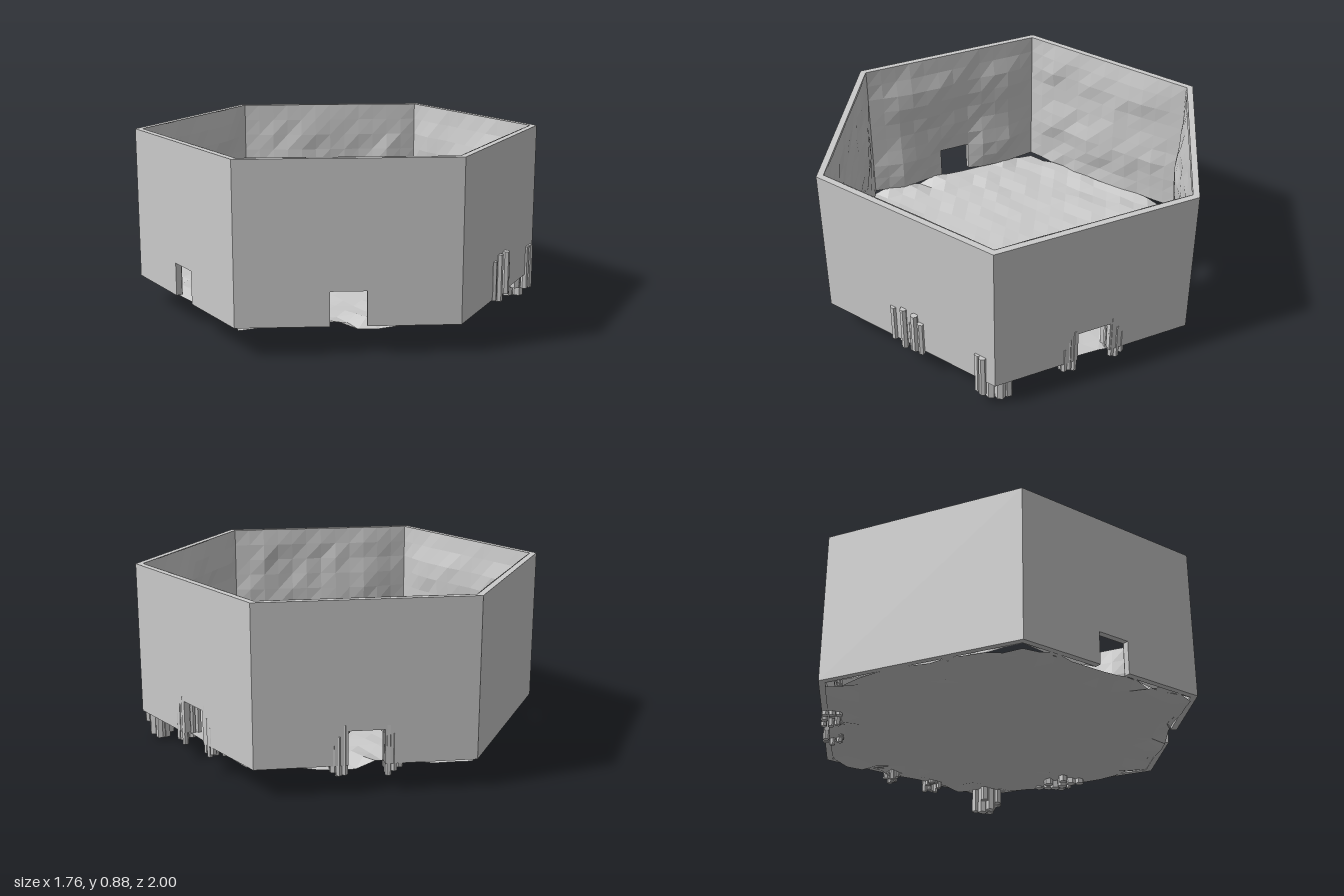
import * as THREE from 'three';
import { mergeGeometries } from 'three/addons/utils/BufferGeometryUtils.js';

const BASE = 0.135, TOP = 0.885, THICK = 0.03;
const APOTHEM = Math.sqrt(3) / 2;
const DOOR_HALF = 0.0825, DOOR_TOP = 0.295;
const INNER_HALF = 0.5 - THICK * Math.tan(Math.PI / 6);

const solid = new THREE.MeshStandardMaterial({ color: 0xcccccc, flatShading: true });
const sheet = new THREE.MeshStandardMaterial({ color: 0xcccccc, flatShading: true, side: THREE.DoubleSide });

// repeatable value in 0..1 from two numbers
function hash(a, b) {
  const s = Math.sin(a * 127.1 + b * 311.7) * 43758.5453;
  return s - Math.floor(s);
}

function named(geometry, material, name) {
  const mesh = new THREE.Mesh(geometry, material);
  mesh.name = name;
  return mesh;
}

function facetted(points, index) {
  const g = new THREE.BufferGeometry();
  g.setAttribute('position', new THREE.Float32BufferAttribute(points, 3));
  g.setIndex(index);
  const flat = g.toNonIndexed();
  flat.computeVertexNormals();
  return flat;
}

// outer panel with an optional doorway, mitred to meet its neighbours
function panelGeometry(hasDoor) {
  const s = new THREE.Shape();
  s.moveTo(-0.5, BASE);
  if (hasDoor) {
    s.lineTo(-DOOR_HALF, BASE);
    s.lineTo(-DOOR_HALF, DOOR_TOP);
    s.lineTo(DOOR_HALF, DOOR_TOP);
    s.lineTo(DOOR_HALF, BASE);
  }
  s.lineTo(0.5, BASE);
  s.lineTo(0.5, TOP);
  s.lineTo(-0.5, TOP);
  const g = new THREE.ExtrudeGeometry(s, { depth: THICK, bevelEnabled: false });
  g.translate(0, 0, APOTHEM - THICK);
  const p = g.attributes.position;
  for (let i = 0; i < p.count; i++) {
    if (p.getZ(i) < APOTHEM - THICK / 2 && Math.abs(p.getX(i)) > 0.4) {
      p.setX(i, Math.sign(p.getX(i)) * INNER_HALF);
    }
  }
  g.computeVertexNormals();
  return g;
}

// rough rock sheet lining the inside of a panel
function liningGeometry(hasDoor, seed) {
  const cols = 12, rows = 9, points = [], index = [];
  for (let r = 0; r <= rows; r++) {
    const y = r <= 2 ? BASE + r * 0.08 : DOOR_TOP + (r - 2) * (TOP - DOOR_TOP) / 7;
    for (let c = 0; c <= cols; c++) {
      const k = c - 6;
      const x = Math.abs(k) <= 1 ? k * DOOR_HALF
        : Math.sign(k) * (DOOR_HALF + (Math.abs(k) - 1) * (INNER_HALF - DOOR_HALF) / 5);
      const wave = 0.5 + 0.3 * Math.sin(r * 1.3 + seed * 2) + 0.3 * Math.sin(c * 0.8 + seed * 3 + r * 0.3);
      let bulge = 0.003 + 0.026 * Math.max(0, wave) + 0.014 * hash(r + seed * 17, c);
      bulge *= Math.min(1, (6 - Math.abs(k)) / 2) * Math.min(1, 0.1 + (rows - r) * 0.4);
      if (hasDoor && Math.abs(k) <= 1 && r <= 2) bulge = 0;
      points.push(x, y, APOTHEM - THICK - 0.002 - bulge);
    }
  }
  for (let r = 0; r < rows; r++) {
    for (let c = 0; c < cols; c++) {
      if (hasDoor && r < 2 && (c === 5 || c === 6)) continue;
      const a = r * (cols + 1) + c, b = a + cols + 1;
      index.push(a, b, a + 1, a + 1, b, b + 1);
    }
  }
  return facetted(points, index);
}

// uneven hexagonal ground on a triangular lattice
function floorGeometry() {
  const n = 11, R = (APOTHEM - THICK) / APOTHEM, points = [], index = [], ids = new Map();
  const key = (q, r) => q + ',' + r;
  for (let q = -n; q <= n; q++) {
    for (let r = -n; r <= n; r++) {
      if (Math.abs(q + r) > n) continue;
      const x = q * APOTHEM * R / n, z = (r + q / 2) * R / n;
      const rim = Math.max(Math.abs(q), Math.abs(r), Math.abs(q + r)) / n;
      const wave = Math.sin(x * 7 + z * 3) * Math.cos(z * 6 - x * 2);
      const rough = 0.003 + 0.018 * rim ** 4;
      const y = 0.126 + 0.005 * wave + rough * (hash(q, r) * 2 - 1);
      ids.set(key(q, r), points.length / 3);
      points.push(x, y, z);
    }
  }
  for (let q = -n; q <= n; q++) {
    for (let r = -n; r <= n; r++) {
      const a = ids.get(key(q, r)), b = ids.get(key(q, r + 1));
      const c = ids.get(key(q + 1, r)), d = ids.get(key(q + 1, r - 1));
      if (a !== undefined && b !== undefined && c !== undefined) index.push(a, b, c);
      if (a !== undefined && c !== undefined && d !== undefined) index.push(a, c, d);
    }
  }
  return facetted(points, index);
}

// stone prism in wall space: offset along the wall, depth inwards, bottom, top, radius
function prism([along, inward, y0, y1, radius]) {
  const g = new THREE.CylinderGeometry(radius, radius, y1 - y0, 6);
  g.rotateY(hash(along, inward) * 2);
  return g.translate(along, (y0 + y1) / 2, APOTHEM - inward);
}

const stones = (list, name) => named(mergeGeometries(list.map(prism)), solid, name);

// stepped pillars at both sides of a doorway and short stones over it
function doorArch(seed) {
  const list = [];
  for (const side of [-1, 1]) {
    for (let i = 0; i < 9; i++) {
      const h = hash(i + seed, side + 5);
      const col = i % 3, row = Math.floor(i / 3);
      list.push([side * (0.098 + col * 0.025), 0.01 + row * 0.033 + h * 0.008,
        0.07 + h * 0.05, 0.31 - col * 0.05 - row * 0.035 + h * 0.03, 0.014 + h * 0.004]);
    }
  }
  for (let i = 0; i <= 10; i++) {
    const t = Math.PI * (0.08 + 0.84 * i / 10), h = hash(i, seed);
    const y = 0.255 + 0.1 * Math.sin(t);
    list.push([Math.cos(t) * 0.12, 0.03 + h * 0.02, y - 0.05, y + 0.015 + h * 0.03, 0.014 + h * 0.004]);
    list.push([Math.cos(t) * 0.105, 0.055 + h * 0.015, y - 0.045, y + h * 0.02, 0.012]);
  }
  return stones(list, 'doorArch');
}

// pillars standing through the side wall (offset along the wall = -z there)
const middlePillars = [
  [-0.085, 0.0, 0.13, 0.32, 0.016], [-0.05, 0.02, 0.12, 0.25, 0.019], [-0.02, -0.005, 0.11, 0.34, 0.017],
  [0.015, 0.015, 0.1, 0.27, 0.02], [0.05, -0.012, 0.13, 0.34, 0.018], [0.08, -0.005, 0.12, 0.3, 0.016],
  [-0.11, 0.06, 0.1, 0.2, 0.024], [-0.065, 0.075, 0.1, 0.24, 0.026], [-0.02, 0.085, 0.09, 0.2, 0.026],
  [0.03, 0.07, 0.09, 0.24, 0.026], [0.075, 0.06, 0.1, 0.22, 0.025], [0.13, 0.05, 0.11, 0.19, 0.024],
  [-0.04, 0.125, 0.1, 0.17, 0.024], [0.05, 0.115, 0.1, 0.16, 0.024],
];
const cornerPillars = [
  [0.405, 0.005, 0.06, 0.28, 0.019], [0.435, -0.005, 0.06, 0.28, 0.018], [0.395, 0.05, 0.06, 0.2, 0.026],
  [0.44, 0.05, 0.01, 0.2, 0.026], [0.485, 0.06, 0.02, 0.15, 0.026], [0.41, 0.095, 0.01, 0.17, 0.026],
  [0.455, 0.1, 0.0, 0.16, 0.026], [0.5, 0.1, 0.01, 0.14, 0.022], [0.43, 0.13, 0.06, 0.15, 0.022],
];

export function createModel() {
  const model = new THREE.Group();
  model.name = 'hexagonalArena';
  model.position.x = -0.015;
  const arena = new THREE.Group();
  arena.name = 'arena';
  arena.add(model);

  model.add(named(floorGeometry(), sheet, 'floor'));

  // six walls, counted from the front right one; the two side walls have no door
  for (let i = 0; i < 6; i++) {
    const hasDoor = i % 3 !== 1;
    const wall = new THREE.Group();
    wall.name = 'wall' + (i + 1);
    wall.rotation.y = Math.PI / 6 + i * Math.PI / 3;
    wall.add(named(panelGeometry(hasDoor), solid, 'outerPanel'));
    wall.add(named(liningGeometry(hasDoor, i + 1), sheet, 'rockLining'));
    if (i === 2 || i === 3) wall.add(doorArch(i));
    if (i === 1) {
      wall.add(stones(middlePillars, 'middlePillars'));
      wall.add(stones(cornerPillars, 'cornerPillars'));
    }
    model.add(wall);
  }
  return arena;
}
